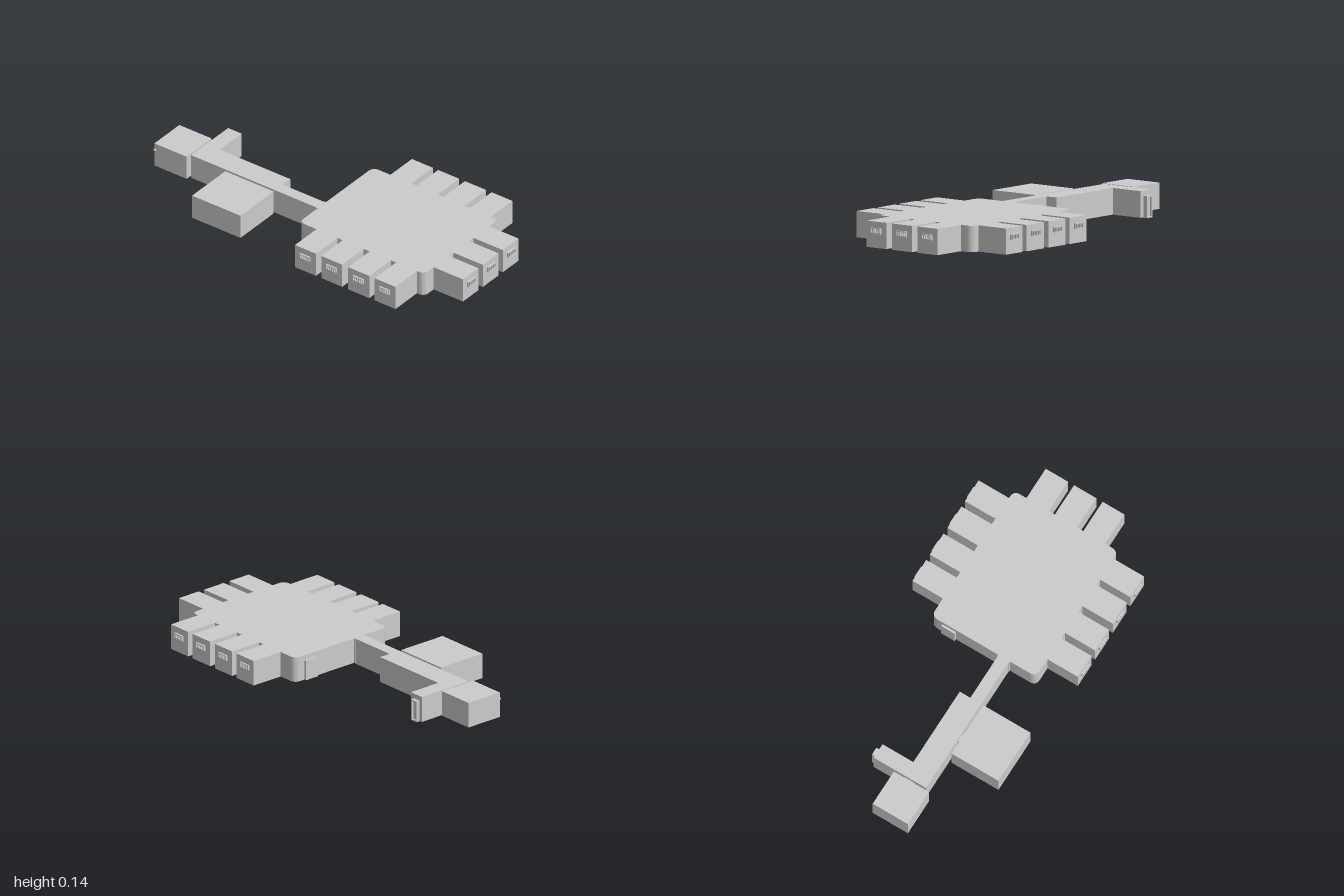
import * as THREE from 'three';
import { toCreasedNormals } from 'three/addons/utils/BufferGeometryUtils.js';

const FLOOR = 0.004, ROOF = 0.138;

export function createModel() {
  const root = new THREE.Group();
  const mat = new THREE.MeshStandardMaterial({ color: 0xcccccc });

  const add = (name, geo, parent = root) => {
    const mesh = new THREE.Mesh(geo, mat);
    mesh.name = name;
    parent.add(mesh);
    return mesh;
  };
  // box given by its limits on each axis
  const box = (name, x0, x1, y0, y1, z0, z1, parent) => {
    const mesh = add(name, new THREE.BoxGeometry(x1 - x0, y1 - y0, z1 - z0), parent);
    mesh.position.set((x0 + x1) / 2, (y0 + y1) / 2, (z0 + z1) / 2);
    return mesh;
  };
  // plan outline (x, -z) raised from y0 to y1
  const raise = (shape, y0, y1) => {
    const geo = new THREE.ExtrudeGeometry(shape, { depth: y1 - y0, bevelEnabled: false, curveSegments: 10 });
    geo.rotateX(-Math.PI / 2).translate(0, y0, 0);
    return toCreasedNormals(geo, 0.6);
  };

  // main hall: rounded block with docking bays on the front, back and left
  const X0 = 0.015, X1 = 0.805, ZB = -0.315, ZF = 0.305, R = 0.038;
  const BACK = -0.495, FRONT = 0.485, SIDE = 0.99;
  const bays = [[0.125, 0.257], [0.291, 0.423], [0.46, 0.594], [0.628, 0.759]];
  const sideBays = [[-0.24, -0.108], [-0.072, 0.06], [0.097, 0.226]];
  const hall = new THREE.Shape();
  const to = (x, z) => hall.lineTo(x, -z);
  const corner = (cx, cz, x, z) => hall.quadraticCurveTo(cx, -cz, x, -z);
  hall.moveTo(X0 + R, -ZF);
  for (const [a, b] of bays) { to(a, ZF); to(a, FRONT); to(b, FRONT); to(b, ZF); }
  to(X1 - R, ZF);
  corner(X1, ZF, X1, ZF - R);
  for (const [a, b] of [...sideBays].reverse()) { to(X1, b); to(SIDE, b); to(SIDE, a); to(X1, a); }
  to(X1, ZB + R);
  corner(X1, ZB, X1 - R, ZB);
  for (const [a, b] of [...bays].reverse()) { to(b, ZB); to(b, BACK); to(a, BACK); to(a, ZB); }
  to(X0 + R, ZB);
  corner(X0, ZB, X0, ZB + R);
  to(X0, ZF - R);
  corner(X0, ZF, X0 + R, ZF);
  add('hall', raise(hall, FLOOR, ROOF));

  // barred window standing out from the end of a bay, facing local +z
  const barredWindow = (x, z, angle) => {
    const g = new THREE.Group();
    g.name = 'barredWindow';
    const w = 0.032, h = 0.014, t = 0.004, d = 0.01;
    for (const s of [-1, 1]) {
      box('windowRail', -w, w, s > 0 ? h - t : -h, s > 0 ? h : t - h, 0, d, g);
    }
    for (let i = 0; i < 6; i++) {
      const c = -w + t / 2 + i * (2 * w - t) / 5;
      box('windowBar', c - t / 2, c + t / 2, -h + t, h - t, 0, d, g);
    }
    g.position.set(x, 0.091, z);
    g.rotation.y = angle;
    root.add(g);
  };
  for (const [a, b] of bays) {
    barredWindow((a + b) / 2, FRONT, 0);
    barredWindow((a + b) / 2, BACK, Math.PI);
  }
  for (const [a, b] of sideBays) barredWindow(SIDE, (a + b) / 2, Math.PI / 2);

  // doors on the inner wall of the hall
  box('hallDoor', 0.003, X0, FLOOR, 0.11, -0.25, -0.17);
  box('corridorDoor', 0.003, X0, FLOOR, ROOF, 0.08, 0.15);

  // stepped corridor with an arm turning to the back
  const corridor = new THREE.Shape([
    [0.01, 0.147], [0.01, 0.083], [-0.255, 0.083], [-0.255, 0.02],
    [-0.7, 0.02], [-0.7, -0.163], [-0.785, -0.163], [-0.785, 0.147],
  ].map(([x, z]) => new THREE.Vector2(x, -z)));
  add('corridor', raise(corridor, 0.002, ROOF));

  // framed entrance at the end of the arm
  box('entrancePanel', -0.759, -0.731, 0.006, 0.106, -0.174, -0.163);
  box('entrancePost', -0.766, -0.759, 0, 0.112, -0.184, -0.163);
  box('entrancePost', -0.731, -0.724, 0, 0.112, -0.184, -0.163);
  box('entranceLintel', -0.759, -0.731, 0.106, 0.112, -0.184, -0.163);
  box('entranceSill', -0.759, -0.731, 0, 0.006, -0.184, -0.163);

  // side rooms and the short passages joining them
  box('endRoom', -0.998, -0.795, FLOOR, ROOF, -0.037, 0.172);
  box('endRoomPassage', -0.795, -0.785, 0.002, 0.115, 0.02, 0.083);
  box('endRoomVent', -0.998, -0.988, 0.098, 0.106, 0.172, 0.18);
  box('frontRoom', -0.56, -0.255, FLOOR, ROOF, 0.16, 0.438);
  box('frontRoomPassage', -0.478, -0.435, 0.002, 0.112, 0.147, 0.16);

  return root;
}
